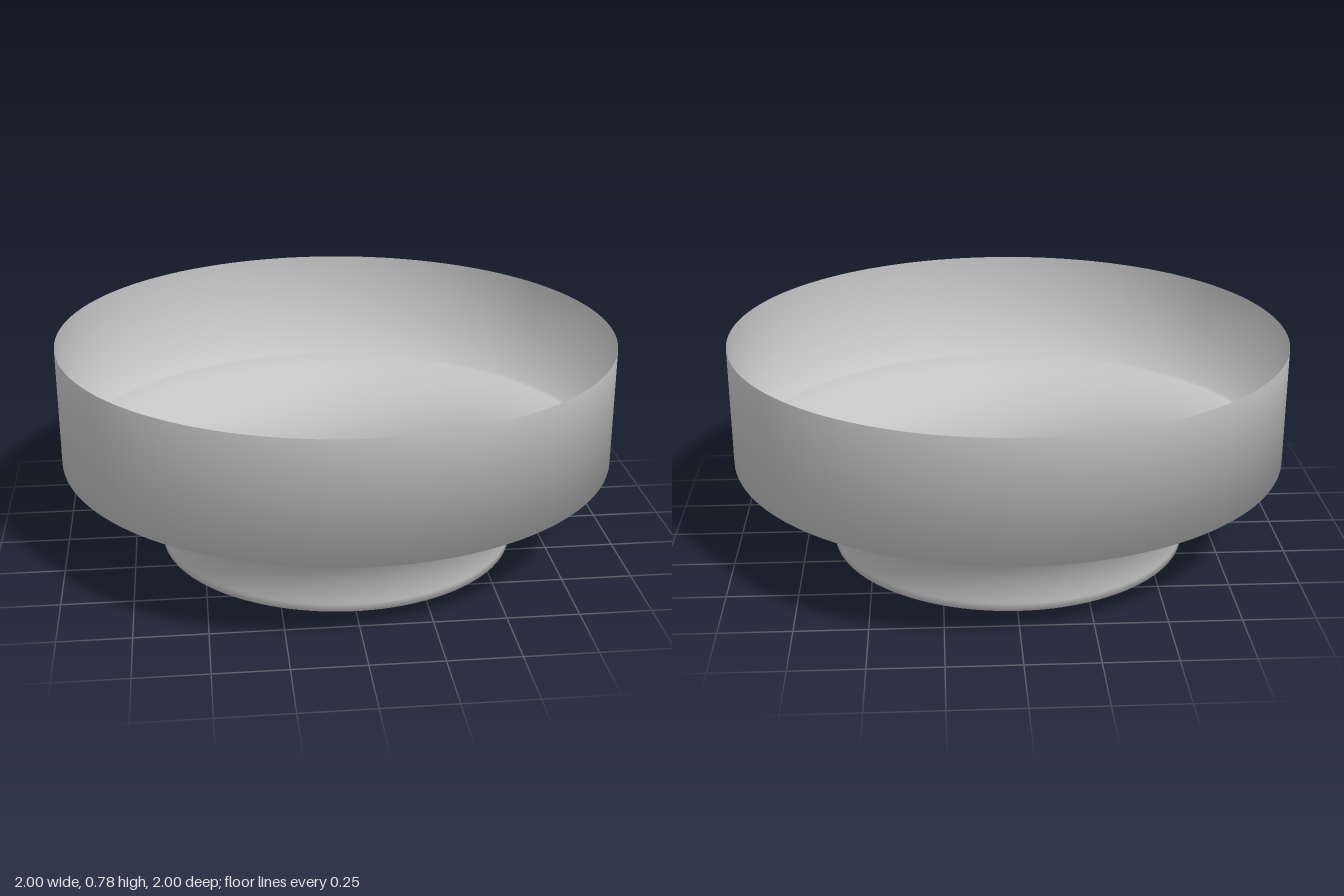
import * as THREE from 'three';

const SEGMENTS = 128;
const BASE_R = 0.65; // foot radius
const COVE = 0.35;   // radius of the concave quarter round
const HEIGHT = 0.78;

export function createModel() {
  const group = new THREE.Group();
  group.name = 'footedBowl';
  const grey = new THREE.MeshStandardMaterial({ color: 0xc4c4c4, side: THREE.DoubleSide });
  grey.name = 'grey';

  // Thin shell: flat floor, concave cove, straight upright wall
  const profile = [new THREE.Vector2(0, 0)];
  const steps = 20;
  for (let i = 0; i <= steps; i++) {
    const a = (i / steps) * Math.PI / 2;
    profile.push(new THREE.Vector2(BASE_R + COVE * (1 - Math.cos(a)), COVE * Math.sin(a)));
  }
  profile.push(new THREE.Vector2(1, HEIGHT));
  const shell = new THREE.LatheGeometry(profile, SEGMENTS);

  // Soften the floor edge and the foot of the wall
  const normals = shell.attributes.normal;
  const soften = (index, tilt) => {
    for (let s = 0; s <= SEGMENTS; s++) {
      const phi = (s / SEGMENTS) * Math.PI * 2;
      normals.setXYZ(s * profile.length + index,
        Math.sin(phi) * Math.sin(tilt), -Math.cos(tilt), Math.cos(phi) * Math.sin(tilt));
    }
  };
  soften(1, Math.PI / 6);
  soften(steps + 1, Math.PI / 4);

  const bowl = new THREE.Mesh(shell, grey);
  bowl.name = 'bowlShell';
  group.add(bowl);

  // Tiny oblong ring lying in the middle of the floor
  const path = new THREE.CurvePath();
  const half = 0.028, r = 0.012, y = 0.006;
  const points = [];
  for (let i = 0; i < 24; i++) {
    const a = (i / 24) * Math.PI * 2 + Math.PI / 24;
    points.push(new THREE.Vector3(Math.sign(Math.cos(a)) * half + r * Math.cos(a), y, r * Math.sin(a)));
  }
  for (let i = 0; i < points.length; i++) {
    path.add(new THREE.LineCurve3(points[i], points[(i + 1) % points.length]));
  }
  const ring = new THREE.Mesh(new THREE.TubeGeometry(path, 48, 0.005, 8, true), grey);
  ring.name = 'floorRing';
  group.add(ring);

  return group;
}
